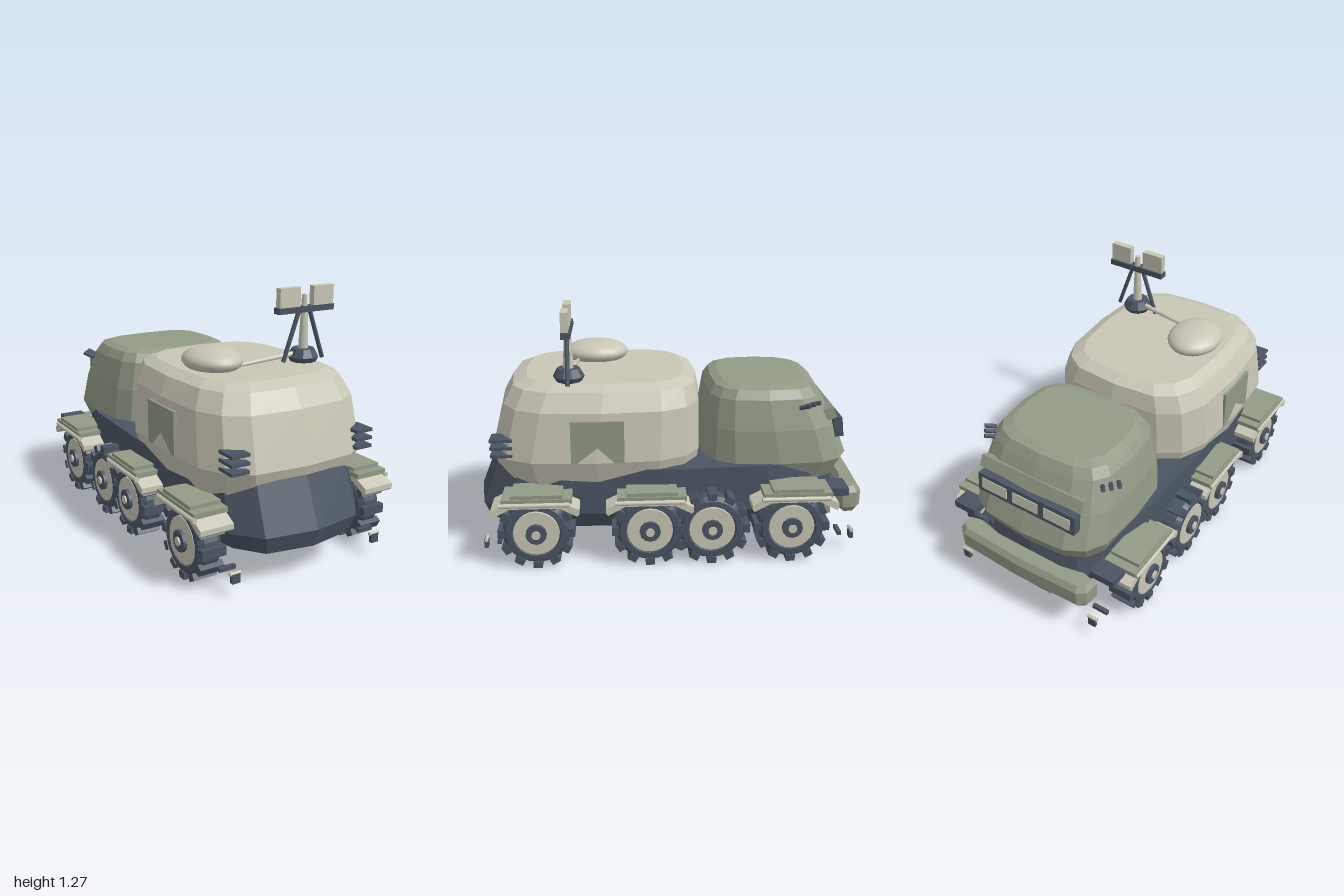
import * as THREE from 'three';

const mat = (name, color) => Object.assign(new THREE.MeshStandardMaterial({ color }), { name });

export function createModel() {
  const slate = mat('slate', 0x4a5562);
  const sage = mat('sage green', 0x929a87);
  const sand = mat('sand', 0xc8c6b6);
  const root = new THREE.Group();
  root.name = 'sixWheelRover';
  root.name = 'expeditionTruck';

  const flat = (g) => {
    const f = g.index ? g.toNonIndexed() : g;
    f.computeVertexNormals();
    return f;
  };
  const add = (parent, name, geo, material, x = 0, y = 0, z = 0) => {
    const m = new THREE.Mesh(geo, material);
    m.name = name;
    m.position.set(x, y, z);
    parent.add(m);
    return m;
  };
  const box = (parent, name, w, h, d, material, x, y, z) =>
    add(parent, name, new THREE.BoxGeometry(w, h, d), material, x, y, z);
  const group = (parent, name, x = 0, y = 0, z = 0) => {
    const g = new THREE.Group();
    g.name = name;
    g.position.set(x, y, z);
    parent.add(g);
    return g;
  };
  // Tapered rod between two points
  const rod = (parent, name, a, b, r0, r1, material, sides = 8) => {
    const p = new THREE.Vector3(...a), q = new THREE.Vector3(...b);
    const d = q.clone().sub(p);
    const m = add(parent, name, new THREE.CylinderGeometry(r1, r0, d.length(), sides), material);
    m.position.copy(p).addScaledVector(d, 0.5);
    m.quaternion.setFromUnitVectors(new THREE.Vector3(0, 1, 0), d.normalize());
    return m;
  };
  // Faceted rounded-box shell from rings [y, halfWidth, zFront, zBack]
  const shell = (rings, n = 16, power = 3.5) => {
    const soft = (v) => Math.sign(v) * Math.abs(v) ** (2 / power);
    const point = ([y, w, f, b], i) => {
      const a = (i / n) * Math.PI * 2;
      return [w * soft(Math.cos(a)), y, (f + b) / 2 + ((f - b) / 2) * soft(Math.sin(a))];
    };
    const pos = [];
    const lo = rings[0], hi = rings[rings.length - 1];
    for (let i = 0; i < n; i++) {
      for (let k = 0; k < rings.length - 1; k++) {
        const a = point(rings[k], i), b = point(rings[k], i + 1);
        const c = point(rings[k + 1], i), d = point(rings[k + 1], i + 1);
        pos.push(...a, ...c, ...b, ...b, ...c, ...d);
      }
      pos.push(0, lo[0], (lo[2] + lo[3]) / 2, ...point(lo, i), ...point(lo, i + 1));
      pos.push(0, hi[0], (hi[2] + hi[3]) / 2, ...point(hi, i + 1), ...point(hi, i));
    }
    const g = new THREE.BufferGeometry();
    g.setAttribute('position', new THREE.Float32BufferAttribute(pos, 3));
    g.computeVertexNormals();
    return g;
  };

  // Hull, main body and cabin
  add(root, 'hull', shell([
    [0.16, 0.40, 0.97, -0.87], [0.25, 0.445, 1.0, -0.91], [0.48, 0.435, 0.908, -0.86]]), slate);
  add(root, 'mainBody', shell([
    [0.40, 0.42, 0.87, -0.15], [0.53, 0.464, 0.915, -0.175], [0.78, 0.445, 0.85, -0.17],
    [0.87, 0.40, 0.80, -0.15], [0.90, 0.34, 0.73, -0.09]]), sand);
  add(root, 'cabin', shell([
    [0.38, 0.36, -0.2, -0.89], [0.48, 0.40, -0.165, -0.94], [0.65, 0.385, -0.175, -0.87],
    [0.80, 0.35, -0.20, -0.79], [0.845, 0.32, -0.23, -0.76], [0.86, 0.28, -0.27, -0.71]]), sage);

  // Wheels
  const tireGeo = flat(new THREE.LatheGeometry([
    [0, -0.06], [0.145, -0.06], [0.168, -0.035], [0.168, 0.035], [0.15, 0.06], [0.122, 0.062],
    [0.115, 0.045], [0, 0.045]].map(([r, y]) => new THREE.Vector2(r, y)), 24)).rotateZ(-Math.PI / 2);
  const disc = (r, len, sides) => new THREE.CylinderGeometry(r, r, len, sides).rotateZ(-Math.PI / 2);
  const makeWheel = (side, z) => {
    const w = group(root, 'wheel', side * 0.46, 0.19, z);
    if (side < 0) w.rotation.y = Math.PI;
    add(w, 'tire', tireGeo, slate);
    for (let i = 0; i < 12; i++) {
      const a = (i / 12) * Math.PI * 2;
      box(w, 'tread', 0.124, 0.034, 0.045, slate, 0, Math.cos(a) * 0.172, Math.sin(a) * 0.172)
        .rotation.x = a;
    }
    add(w, 'rim', disc(0.114, 0.03, 24), sand, 0.045);
    add(w, 'hub', disc(0.052, 0.03, 12), slate, 0.063);
    add(w, 'hubCap', disc(0.022, 0.03, 10), sand, 0.071);
  };

  // Fender: bent sheet with sloped ends, top pad and side rail
  const sheet = new THREE.Shape([
    [-0.215, 0.30], [-0.205, 0.29], [-0.12, 0.335], [0.12, 0.335], [0.205, 0.29],
    [0.215, 0.30], [0.215, 0.325], [0.13, 0.365], [-0.13, 0.365], [-0.215, 0.325],
  ].map((p) => new THREE.Vector2(...p)));
  const sheetGeo = new THREE.ExtrudeGeometry(sheet, { depth: 0.17, bevelEnabled: false })
    .translate(0, 0, -0.085).rotateY(Math.PI / 2);
  const makeFender = (side, z) => {
    const f = group(root, 'fender', side * 0.462, 0, z);
    add(f, 'fenderSheet', sheetGeo, sand);
    box(f, 'fenderPad', 0.174, 0.025, 0.34, sage, 0, 0.371, -0.01);
    box(f, 'fenderTopPad', 0.16, 0.02, 0.25, sage, 0, 0.392, -0.01);
    rod(f, 'fenderRail', [side * 0.087, 0.355, -0.17], [side * 0.087, 0.355, 0.17], 0.012, 0.012, sand);
  };

  for (const s of [-1, 1]) {
    for (const z of [0.67, 0.11, -0.2, -0.6]) makeWheel(s, z);
    for (const z of [0.67, 0.11, -0.61]) makeFender(s, z);

    // Side hatch
    box(root, 'sideHatch', 0.022, 0.215, 0.26, sage, s * 0.447, 0.635, 0.36);

    // Front vent bars and cabin roof rods
    for (const y of [0.55, 0.59, 0.63])
      box(root, 'ventBar', 0.095, 0.015, 0.11, slate, s * 0.347, y, 0.835);
    for (let i = 0; i < 3; i++) {
      const x = 0.315 + i * 0.025, z = -0.735 + i * 0.03;
      rod(root, 'roofRod', [s * x, 0.765, z + 0.03], [s * (x + 0.035), 0.785, z - 0.015],
        0.011, 0.011, slate, 6);
    }

    // Rear step and tow hooks
    box(root, 'rearStep', 0.13, 0.04, 0.1, slate, s * 0.425, 0.36, -0.835);
    for (const e of [1, -1]) {
      const h = group(root, 'towHook', s * 0.4, 0.1, e * 0.9);
      box(h, 'hookBar', 0.085, 0.02, 0.02, slate, 0, 0.008, -0.035 * e);
      box(h, 'hookBlock', 0.04, 0.045, 0.02, slate, 0, -0.01, 0.035 * e);
      rod(h, 'hookPin', [-0.028, 0.012, 0.033 * e], [0.028, 0.012, 0.033 * e], 0.009, 0.009, sand);
    }
  }

  // Axle housings under the hull
  for (const z of [0.67, 0.09, -0.6]) box(root, 'axleHousing', 0.09, 0.03, 0.06, slate, 0, 0.157, z);

  // Curved rear bumper
  const bar = new THREE.Shape([
    [-0.375, -0.9], [-0.37, -0.945], [-0.34, -0.967], [0, -0.98], [0.34, -0.967], [0.37, -0.945],
    [0.375, -0.9], [0.32, -0.885], [0.2, -0.91], [-0.2, -0.91], [-0.32, -0.885],
  ].map((p) => new THREE.Vector2(...p)));
  add(root, 'rearBumper', new THREE.ExtrudeGeometry(bar, {
    depth: 0.08, bevelSize: 0.02, bevelThickness: 0.03, bevelSegments: 1,
  }).rotateX(Math.PI / 2), sage, 0, 0.31, 0);

  // Rear box with framed panel
  box(root, 'rearBox', 0.24, 0.14, 0.09, sage, 0, 0.14, -0.855);
  box(root, 'rearBoxFrame', 0.17, 0.065, 0.008, slate, 0, 0.115, -0.903);
  box(root, 'rearBoxPanel', 0.12, 0.03, 0.008, sage, 0, 0.115, -0.908);

  // Rear window strip with three panes, and visor above
  const win = group(root, 'rearWindow', 0, 0.63, -0.868);
  win.rotation.x = 0.12;
  box(win, 'windowFrame', 0.57, 0.1, 0.045, slate, 0, 0, 0);
  for (const x of [-0.185, 0, 0.185]) box(win, 'windowPane', 0.15, 0.058, 0.008, sand, x, 0, -0.023);
  const visor = box(root, 'visor', 0.6, 0.06, 0.05, sage, 0, 0.71, -0.82);
  visor.rotation.x = 0.45;

  // Roof dome and feed arm
  const dome = add(root, 'roofDome', new THREE.SphereGeometry(1, 24, 16), sand, -0.18, 0.935, 0.37);
  dome.scale.set(0.14, 0.065, 0.17);
  rod(root, 'feedArm', [-0.08, 0.912, 0.465], [0.22, 0.94, 0.49], 0.009, 0.014, sand);

  // Mast with struts, crossbar and twin panels
  const mast = group(root, 'mast', 0.27, 0, 0.497);
  add(mast, 'mastBase', flat(new THREE.LatheGeometry([
    [0, 0.89], [0.06, 0.89], [0.078, 0.925], [0.056, 0.965], [0, 0.965],
  ].map((p) => new THREE.Vector2(...p)), 10)), slate);
  rod(mast, 'mastPole', [0, 0.96, 0], [0, 1.23, 0], 0.026, 0.014, sand, 10);
  box(mast, 'crossbar', 0.33, 0.03, 0.045, slate, 0, 1.16, 0);
  for (const s of [-1, 1]) {
    rod(mast, 'strut', [s * 0.12, 0.905, 0], [s * 0.033, 1.15, 0], 0.011, 0.011, slate);
    box(mast, 'panel', 0.12, 0.1, 0.035, sand, s * 0.1, 1.22, 0.004);
  }
  return root;
}
